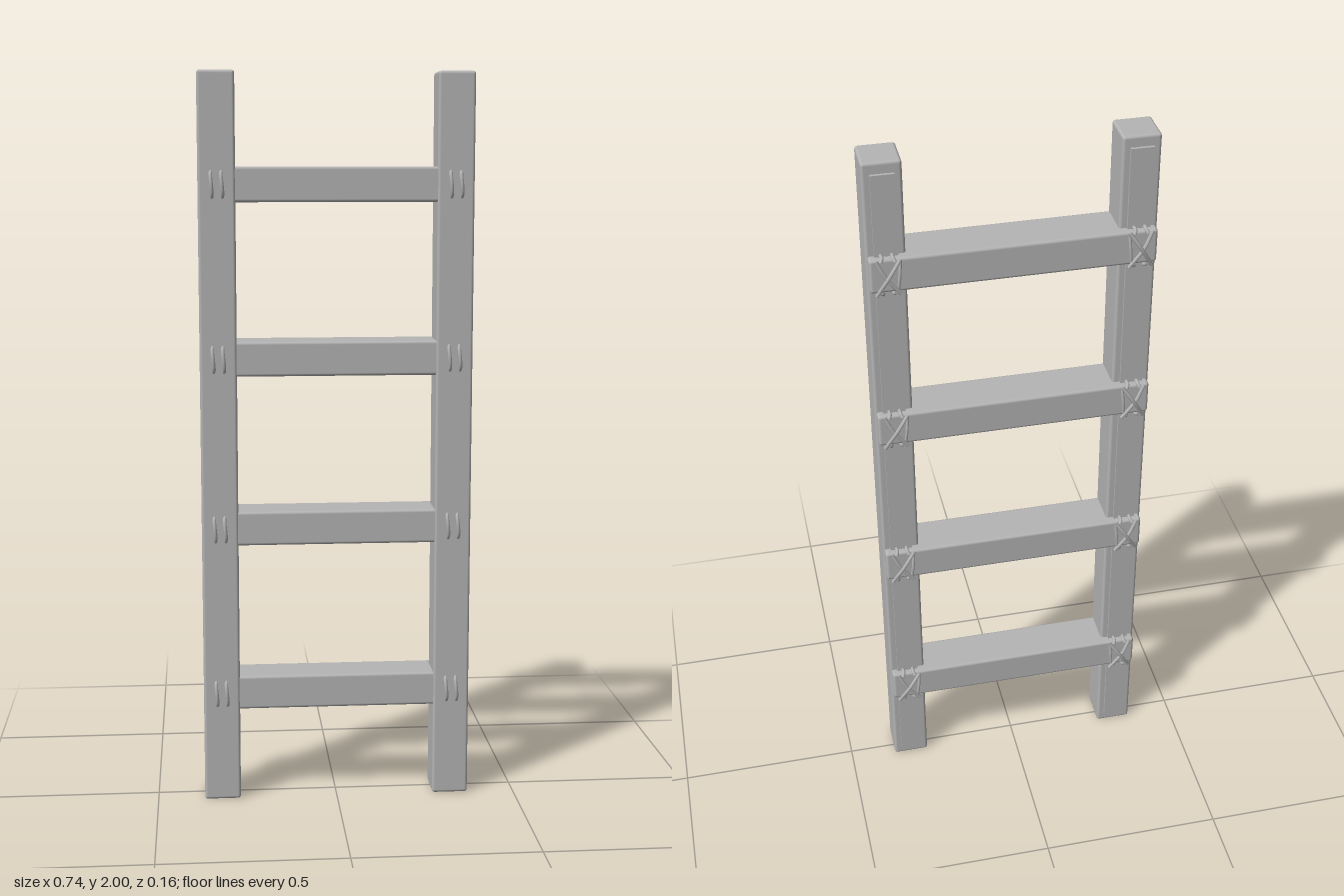
import * as THREE from 'three';
import { RoundedBoxGeometry } from 'three/addons/geometries/RoundedBoxGeometry.js';

const grey = new THREE.MeshStandardMaterial({ color: 0xb4b4b4 });
grey.name = 'plain grey';

const POST_X = 0.32;
const RUNG_Y = [0.306, 0.771, 1.237, 1.703];

function add(parent, name, geometry, x = 0, y = 0, z = 0) {
  const mesh = new THREE.Mesh(geometry, grey);
  mesh.name = name;
  mesh.position.set(x, y, z);
  parent.add(mesh);
  return mesh;
}

// Rope strand through a few points
function strand(parent, name, points, radius) {
  const curve = new THREE.CatmullRomCurve3(points.map((p) => new THREE.Vector3(...p)));
  add(parent, name, new THREE.TubeGeometry(curve, 16, radius, 8));
}

// Lashing that ties a rung end to a post, centred on the joint
function createLashing(side) {
  const lashing = new THREE.Group();
  lashing.name = 'lashing';
  for (const s of [-1, 1]) {
    const x = s * 0.014;
    // Short loops showing on the front of the post
    strand(lashing, 'frontLoop', [
      [x, -0.042, 0.054], [x + 0.002, -0.025, 0.069], [x, 0, 0.074],
      [x - 0.002, 0.025, 0.069], [x, 0.042, 0.054],
    ], 0.005);
    // Stubs running over and under the rung into the post
    for (const v of [-1, 1]) {
      strand(lashing, 'tuckedEnd', [
        [x, v * 0.041, -0.032], [x, v * 0.051, -0.045], [x, v * 0.05, -0.06], [x * 1.3, v * 0.042, -0.068],
      ], 0.005);
    }
  }
  // Crossed strands over the back of the rung
  strand(lashing, 'longDiagonal', [
    [-0.031 * side, 0.05, -0.071], [0, 0.004, -0.078], [0.031 * side, -0.05, -0.067],
  ], 0.005);
  strand(lashing, 'crossDiagonal', [
    [0.03 * side, 0.048, -0.067], [0.006 * side, 0, -0.073], [-0.03 * side, -0.048, -0.071],
  ], 0.005);
  strand(lashing, 'uprightStrand', [
    [-0.031 * side, 0.048, -0.068], [-0.027 * side, 0, -0.072], [-0.022 * side, -0.046, -0.067],
  ], 0.004);
  return lashing;
}

export function createModel() {
  const ladder = new THREE.Group();
  ladder.name = 'ladder';

  // Posts with a thin raised strip on the back
  for (const side of [-1, 1]) {
    const name = side > 0 ? 'left' : 'right';
    add(ladder, name + 'Post', new RoundedBoxGeometry(0.1, 2, 0.102, 2, 0.008), side * POST_X, 1, 0.014);
    add(ladder, name + 'BackStrip', new THREE.BoxGeometry(0.06, 1.94, 0.009), side * POST_X, 1, -0.0405);
  }

  // Rungs, lashed at both ends
  for (const y of RUNG_Y) {
    add(ladder, 'rung', new RoundedBoxGeometry(0.732, 0.094, 0.122, 2, 0.008), 0, y, 0);
    for (const side of [-1, 1]) {
      const lashing = createLashing(side);
      lashing.position.set(side * POST_X, y, 0);
      ladder.add(lashing);
    }
  }
  return ladder;
}
